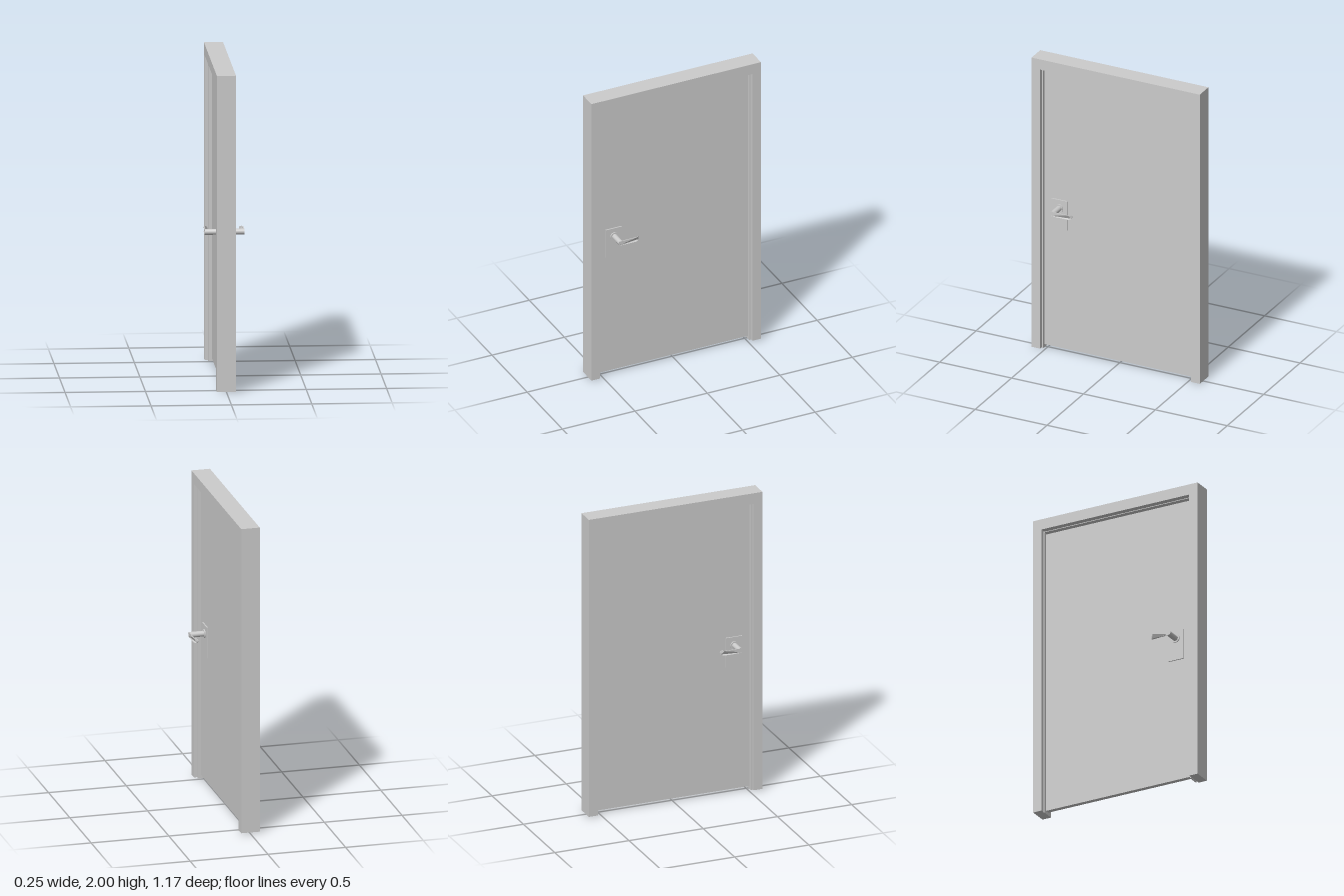
import * as THREE from 'three';

const material = new THREE.MeshStandardMaterial({ color: 0xcccccc });

function add(parent, name, geometry, x = 0, y = 0, z = 0) {
  const mesh = new THREE.Mesh(geometry, material);
  mesh.name = name;
  mesh.position.set(x, y, z);
  parent.add(mesh);
  return mesh;
}

// Box given by its lower and upper corners
function slab(parent, name, [x0, y0, z0], [x1, y1, z1]) {
  return add(parent, name, new THREE.BoxGeometry(x1 - x0, y1 - y0, z1 - z0),
    (x0 + x1) / 2, (y0 + y1) / 2, (z0 + z1) / 2);
}

// Lever: flat strip along -z, bent inward near its rounded end
function leverGeometry() {
  const h = 0.015, thick = 0.005, length = 0.13, bend = 0.108;
  const s = new THREE.Shape();
  s.moveTo(0, -h);
  s.lineTo(bend, -h);
  s.lineTo(length - h, -h);
  s.absarc(length - h, 0, h, -Math.PI / 2, Math.PI / 2, false);
  s.lineTo(bend, h);
  s.lineTo(0, h);
  s.absarc(0, 0, h, Math.PI / 2, Math.PI * 1.5, false);
  const g = new THREE.ExtrudeGeometry(s, { depth: thick, bevelEnabled: false, curveSegments: 10 });
  g.rotateY(Math.PI / 2);
  const p = g.attributes.position;
  for (let i = 0; i < p.count; i++) {
    const over = -p.getZ(i) - bend;
    if (over > 0) p.setX(i, p.getX(i) - over * 0.95);
  }
  g.computeVertexNormals();
  return g;
}

// Plate, rose, spindle and lever for the +x face
function handleSet(name) {
  const g = new THREE.Group();
  g.name = name;
  const y = 0.985, z = 0.41;
  slab(g, 'handlePlate', [0.014, 0.84, 0.355], [0.023, 1.04, 0.465]);
  const rod = (part, r, x0, x1) => add(g, part,
    new THREE.CylinderGeometry(r, r, x1 - x0, 24).rotateZ(Math.PI / 2), (x0 + x1) / 2, y, z);
  rod('rose', 0.027, 0.022, 0.03);
  rod('spindle', 0.018, 0.028, 0.123);
  add(g, 'lever', leverGeometry(), 0.1185, y, z);
  return g;
}

export function createModel() {
  const model = new THREE.Group();
  model.name = 'door';
  const body = new THREE.Group();
  body.name = 'doorAssembly';
  body.position.x = -0.002;
  model.add(body);

  // Frame: two jambs and the head
  const d = 0.0595, w = 0.585, inner = 0.525;
  slab(body, 'frameHead', [-d, 1.93, -w], [d, 2, w]);
  for (const [side, s] of [['front', 1], ['back', -1]]) {
    const z = [s * inner, s * w].sort((a, b) => a - b);
    slab(body, side + 'Jamb', [-d, 0.006, z[0]], [d, 1.93, z[1]]);
    // Stepped stop inside the jamb
    const q = [s * 0.517, s * inner].sort((a, b) => a - b);
    slab(body, side + 'Stop', [-0.037, 0, q[0]], [0.037, 1.925, q[1]]);
  }

  // Thin strip in the gap above the leaf
  slab(body, 'headStrip', [-0.037, 1.918, -0.52], [0.037, 1.922, 0.52]);

  // Door leaf
  slab(body, 'doorLeaf', [-0.015, 0.02, -0.518], [0.015, 1.912, 0.518]);

  // Handle on each face, the second turned upside down and then mirrored in y
  body.add(handleSet('rightHandle'));
  const other = handleSet('leftHandle');
  other.traverse((o) => {
    if (!o.isMesh) return;
    // Mirror across x, restoring the winding order of the triangles
    o.geometry.scale(-1, 1, 1);
    o.position.x *= -1;
    const g = o.geometry = o.geometry.index ? o.geometry.toNonIndexed() : o.geometry;
    for (const key of ['position', 'normal']) {
      const a = g.attributes[key];
      const v = new THREE.Vector3(), u = new THREE.Vector3();
      for (let i = 0; i < a.count; i += 3) {
        v.fromBufferAttribute(a, i + 1);
        u.fromBufferAttribute(a, i + 2);
        a.setXYZ(i + 1, u.x, u.y, u.z);
        a.setXYZ(i + 2, v.x, v.y, v.z);
      }
    }
  });
  body.add(other);
  return model;
}
